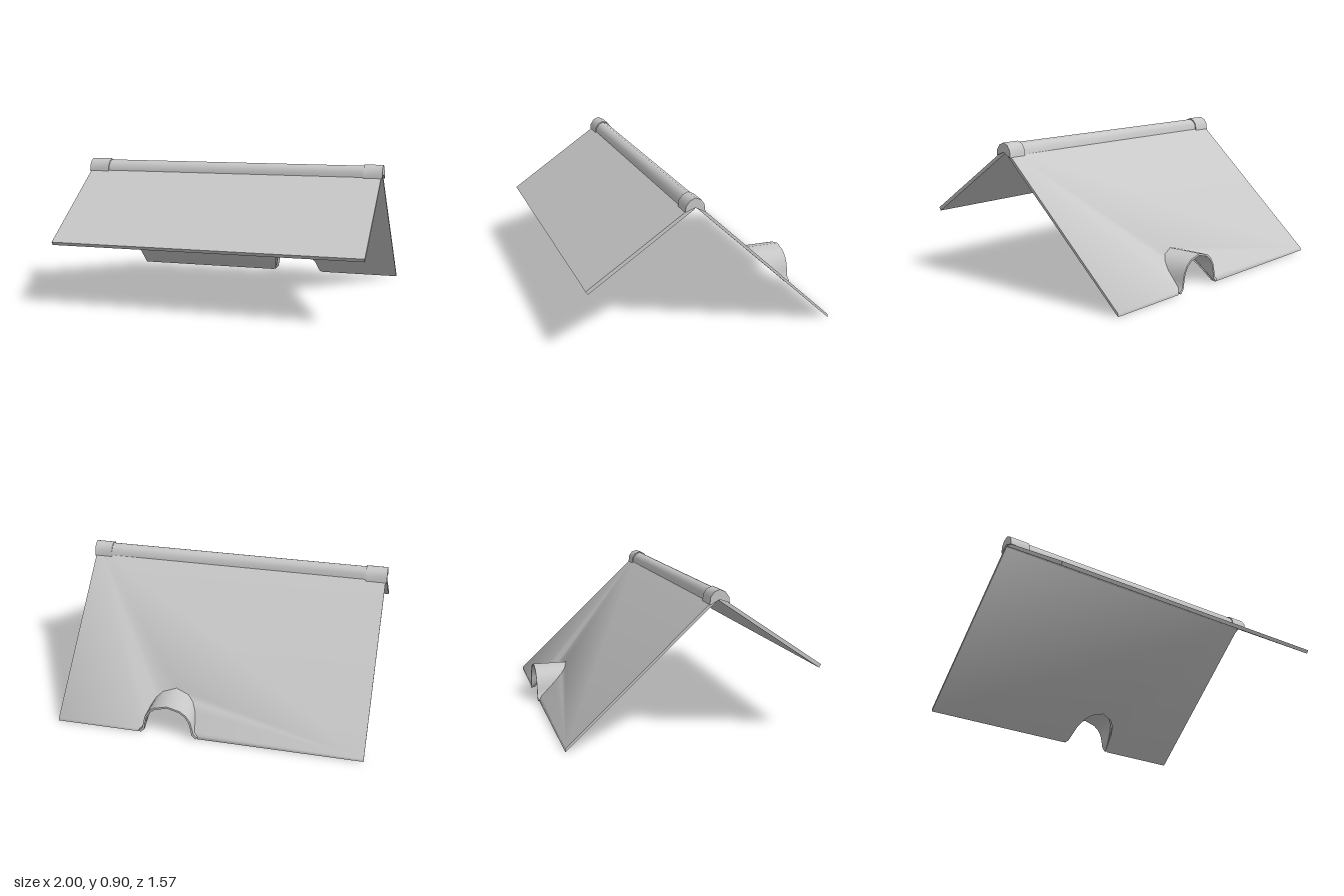
import * as THREE from 'three';
import { toCreasedNormals } from 'three/addons/utils/BufferGeometryUtils.js';

const grey = new THREE.MeshStandardMaterial({ color: 0xc8c8c8, side: THREE.DoubleSide });
grey.name = 'roofGrey';

const shapeOf = (pts) => new THREE.Shape(pts.map(([x, y]) => new THREE.Vector2(x, y)));

// Top surface of the long rear slope
const EAVE_Z = -0.775;
const slopeY = (z) => 0.81 + 0.936 * (z - 0.07);
const slopeZ = (y) => 0.07 + (y - 0.81) / 0.936;

function addMesh(group, name, geometry, crease = 0.9) {
  const mesh = new THREE.Mesh(toCreasedNormals(geometry, crease), grey);
  mesh.name = name;
  group.add(mesh);
}

// Cross-section given as [z, y], run along x from x0 to x1
function alongX(section, x0, x1) {
  const shape = shapeOf(section.map(([z, y]) => [-z, y]));
  const g = new THREE.ExtrudeGeometry(shape, { depth: x1 - x0, bevelEnabled: false });
  return g.rotateY(Math.PI / 2).translate(x0, 0, 0);
}

// Moves every vertex by a rule
function bend(geometry, rule) {
  const p = geometry.attributes.position;
  const v = new THREE.Vector3();
  for (let i = 0; i < p.count; i++) {
    rule(v.fromBufferAttribute(p, i));
    p.setXYZ(i, v.x, v.y, v.z);
  }
  return geometry;
}

// Mirrored half profile of the arch: [distance from centre, height]
const ARCH_X = 0.25;
const mirrorArch = (half) => [
  ...half.map(([d, y]) => [ARCH_X - d, y]),
  ...half.slice(0, -1).reverse().map(([d, y]) => [ARCH_X + d, y]),
];
const outerArch = mirrorArch([[0.195, 0.016], [0.17, 0.035], [0.16, 0.08], [0.15, 0.125], [0.122, 0.17], [0.084, 0.199], [0, 0.221]]);
const innerArch = mirrorArch([[0.18, 0.003], [0.156, 0.03], [0.148, 0.08], [0.138, 0.122], [0.112, 0.162], [0.077, 0.188], [0, 0.209]]);

export function createModel() {
  const model = new THREE.Group();
  model.name = 'roof';

  // Short front slope
  addMesh(model, 'frontSlope', alongX(
    [[0.133, 0.857], [0.785, 0.415], [0.772, 0.395], [0.133, 0.83]], -0.992, 0.992));

  // Long rear slope, drawn in plan with an arched notch and sheared to its pitch
  const plan = shapeOf([
    [-0.992, -0.133], [-0.992, -EAVE_Z],
    ...outerArch.map(([x, y]) => [x, -Math.max(slopeZ(y), EAVE_Z)]),
    [0.992, -EAVE_Z], [0.992, -0.133],
  ]);
  const rear = new THREE.ExtrudeGeometry(plan, { depth: 0.025, bevelEnabled: false }).rotateX(-Math.PI / 2);
  addMesh(model, 'rearSlope', bend(rear, (v) => {
    v.y = Math.max(0, v.y - 0.025 + slopeY(v.z));
  }));

  // Arched hood running from its open mouth into the rear slope
  const ring = shapeOf([...outerArch, ...innerArch.slice().reverse()]);
  const hood = new THREE.ExtrudeGeometry(ring, { depth: 1, bevelEnabled: false });
  addMesh(model, 'archHood', bend(hood, (v) => {
    const mouth = -0.785;
    v.z = mouth + v.z * (Math.max(slopeZ(v.y), -0.77) - mouth);
  }));

  // Rounded ridge cap with a collar at each end
  const ridge = (s) => [
    [0.133 + 0.061 * s, 0.817], [0.133 + 0.058 * s, 0.85], [0.133 + 0.035 * s, 0.84 + 0.044 * s],
    [0.133, 0.84 + 0.059 * s],
    [0.133 - 0.035 * s, 0.84 + 0.044 * s], [0.133 - 0.055 * s, 0.855], [0.133 - 0.061 * s, 0.807],
    [0.133, 0.84],
  ];
  addMesh(model, 'ridgeCap', alongX(ridge(0.87), -0.97, 0.97));
  addMesh(model, 'rightRidgeCollar', alongX(ridge(1), -1, -0.862));
  addMesh(model, 'leftRidgeCollar', alongX(ridge(1), 0.88, 1));

  return model;
}
